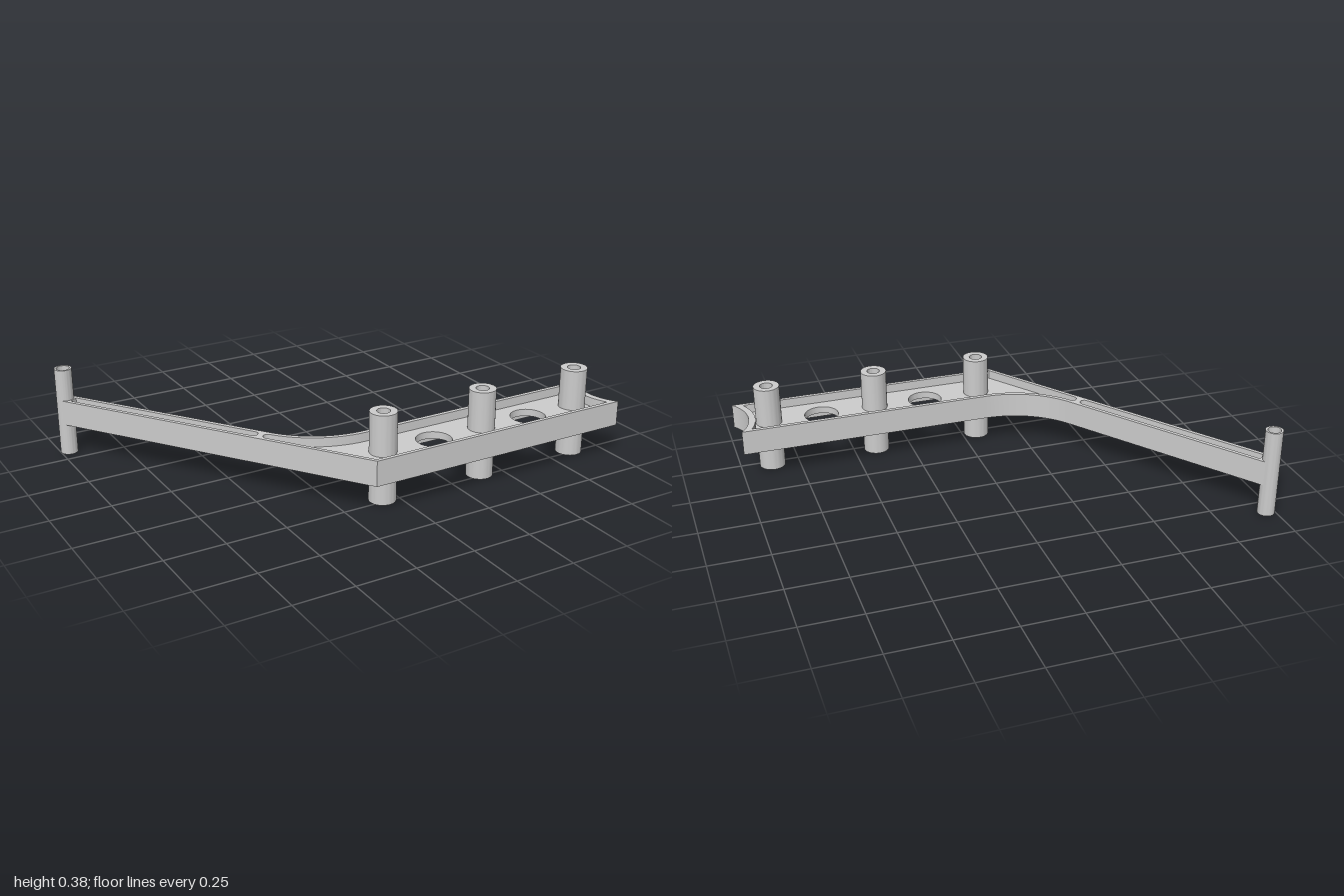
import * as THREE from 'three';
import { toCreasedNormals } from 'three/addons/utils/BufferGeometryUtils.js';

// Plan is drawn in shape coordinates (x, -z) and extruded upwards.
const V = (x, y) => new THREE.Vector2(x, y);
const RAD = Math.PI / 180;

// points on an arc, angles in degrees
function arc(cx, cy, r, a0, a1, n = 24) {
  const pts = [];
  for (let i = 0; i <= n; i++) {
    const a = (a0 + (a1 - a0) * i / n) * RAD;
    pts.push(V(cx + r * Math.cos(a), cy + r * Math.sin(a)));
  }
  return pts;
}
const circle = (c, r) => arc(c.x, c.y, r, 0, 360, 48).slice(0, -1);

// point on the slanted arm: s along it, n across it
const onArm = (s, n) => V(0.573 * s + 0.819 * n, -0.819 * s + 0.573 * n);
const MID = -0.459;

export function createModel() {
  const group = new THREE.Group();
  const material = new THREE.MeshStandardMaterial({ color: 0xcccccc });

  function plate(name, outline, holes, y0, y1) {
    const shape = new THREE.Shape(outline);
    holes.forEach(h => shape.holes.push(new THREE.Path(h)));
    const geo = new THREE.ExtrudeGeometry(shape, { depth: y1 - y0, bevelEnabled: false });
    geo.rotateX(-Math.PI / 2);
    geo.translate(0, y0, 0);
    const mesh = new THREE.Mesh(toCreasedNormals(geo, 0.5), material);
    mesh.name = name;
    group.add(mesh);
  }

  const post = onArm(-1.026, MID);
  const bosses = [-0.065, 0.4, 0.865].map(x => V(x, -0.478));
  const windows = [0.172, 0.637].map(x => V(x, -0.478));
  const bore = 0.027;

  // outer outline: straight body, scooped end, fillet into the arm, round arm tip
  const outline = [
    V(-0.175, -0.612),
    ...arc(1.166, -0.477, 0.214, 219.1, 140.9),
    ...arc(-0.068, 0.058, 0.4, -90, -145),
    ...arc(post.x, post.y, 0.035, 35, 215),
  ];

  // pocket in the body
  const cap = onArm(-0.076, MID);
  const bodyPocket = [
    V(-0.167, -0.596),
    ...arc(1.166, -0.477, 0.242, 209.2, 150.8),
    ...arc(-0.068, 0.058, 0.418, -90, -144),
    ...arc(cap.x, cap.y, 0.019, 35, 215, 12),
  ];

  // long pocket in the arm
  const end = onArm(-0.139, MID);
  const armPocket = [
    ...arc(end.x, end.y, 0.019, -145, 35, 12),
    onArm(-0.985, MID + 0.019),
    onArm(-0.985, MID - 0.019),
  ];

  // rim walls and the thin webs half way up
  plate('rim', outline, [bodyPocket, armPocket, circle(post, bore)], 0.136, 0.242);
  plate('bodyWeb', bodyPocket,
    [...bosses.map(c => circle(c, bore)), ...windows.map(c => circle(c, 0.073))], 0.174, 0.204);
  plate('armWeb', armPocket, [], 0.174, 0.204);

  // hollow bosses and the post at the arm tip
  bosses.forEach((c, i) => plate('boss' + (i + 1), circle(c, 0.055), [circle(c, bore)], 0, 0.375));
  plate('armPost', circle(post, 0.036), [circle(post, bore)], 0, 0.375);

  return group;
}
